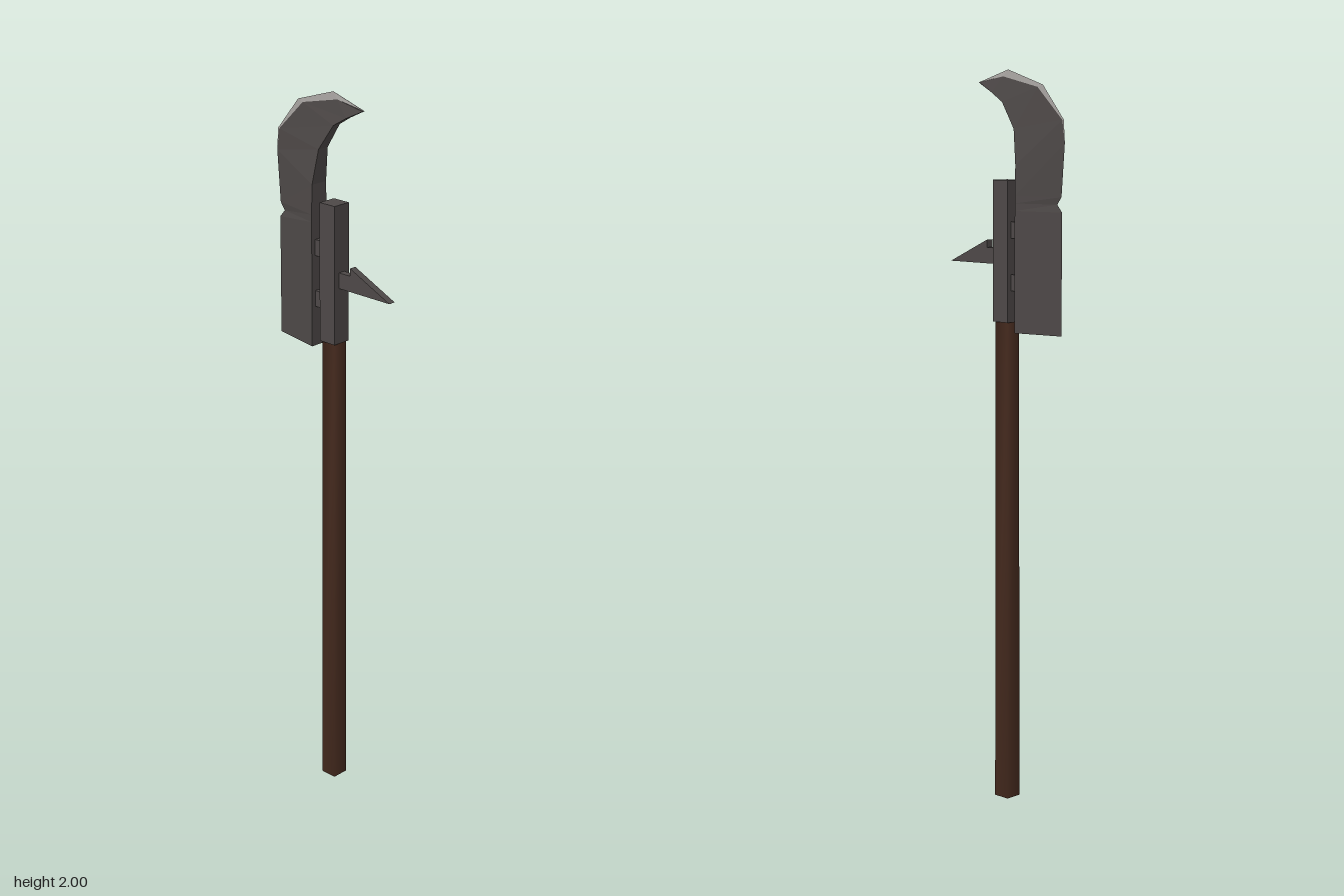
import * as THREE from 'three';
import { mergeVertices } from 'three/addons/utils/BufferGeometryUtils.js';

const mat = (name, color, flat = true) => {
  const m = new THREE.MeshStandardMaterial({ color, flatShading: flat });
  m.name = name;
  return m;
};

export function createModel() {
  const group = new THREE.Group();
  const wood = mat('dark wood', 0x452a1e, false);
  const iron = mat('dark iron', 0x4d4847);
  const steel = mat('sharpened steel', 0xa5a19e);

  const add = (name, geometry, material) => {
    const mesh = new THREE.Mesh(geometry, material);
    mesh.name = name;
    group.add(mesh);
    return mesh;
  };
  const box = (name, x, y, z, w, h, d) =>
    add(name, new THREE.BoxGeometry(w, h, d).translate(x, y, z), iron);

  // Square pole with softened corners, slightly slimmer towards the top
  let pole = new THREE.BoxGeometry(0.048, 1.34, 0.048).translate(0, 0.67, 0);
  const p = pole.attributes.position;
  for (let i = 0; i < p.count; i++) {
    const k = p.getY(i) > 1 ? 0.93 : 1;
    p.setXYZ(i, p.getX(i) * k - 0.003, p.getY(i), p.getZ(i) * k + 0.003);
  }
  pole.deleteAttribute('normal');
  pole.deleteAttribute('uv');
  pole = mergeVertices(pole);
  pole.computeVertexNormals();
  add('pole', pole, wood);

  // Iron socket and the two brackets that carry the blade
  box('socket', -0.003, 1.52, 0.003, 0.054, 0.38, 0.054);
  for (const y of [1.437, 1.578]) box('bracket', -0.002, y, -0.04, 0.026, 0.044, 0.05);

  // Front spike with a short neck
  const outline = [[0.02, 1.484], [0.21, 1.484], [0.07, 1.548], [0.07, 1.527], [0.02, 1.527]];
  const shape = new THREE.Shape(outline.map(([z, y]) => new THREE.Vector2(z, y)));
  const spike = new THREE.ExtrudeGeometry(shape, { depth: 0.02, bevelEnabled: false });
  add('spike', spike.rotateY(-Math.PI / 2).translate(0.007, 0, 0), iron);

  // Blade sections: spine z, y; edge z, y; half thickness; where the sharpened band begins
  const sections = [
    [-0.055, 1.305, -0.2, 1.305, 0.028, 1],
    [-0.055, 1.63, -0.2, 1.63, 0.028, 1],
    [-0.055, 1.65, -0.183, 1.65, 0.028, 1],
    [-0.055, 1.67, -0.198, 1.67, 0.028, 1],
    [-0.055, 1.75, -0.209, 1.81, 0.026, 1],
    [-0.04, 1.845, -0.205, 1.87, 0.017, 0.97],
    [0.008, 1.915, -0.13, 1.96, 0.012, 0.87],
    [0.05, 1.94, -0.003, 2.0, 0.009, 0.7],
    [0.103, 1.966, 0.104, 1.968, 0.003, 0.6],
  ].map(([sz, sy, ez, ey, h, t]) => {
    const spine = new THREE.Vector3(h, sy, sz);
    const edge = new THREE.Vector3(0, ey, ez);
    return { spine, edge, band: spine.clone().lerp(edge, t) };
  });

  const body = [], band = [];
  const flip = (v) => new THREE.Vector3(-v.x, v.y, v.z);
  const tri = (out, ...vs) => vs.forEach((v) => out.push(v.x, v.y, v.z));
  const quad = (out, a, b, c, d) => { tri(out, a, b, c); tri(out, a, c, d); };
  const bothSides = (out, a, b, c, d) => {
    quad(out, a, b, c, d);
    quad(out, flip(d), flip(c), flip(b), flip(a));
  };
  for (let i = 0; i < sections.length - 1; i++) {
    const s = sections[i], n = sections[i + 1];
    bothSides(body, s.spine, s.band, n.band, n.spine);
    quad(body, flip(s.spine), s.spine, n.spine, flip(n.spine));
    if (i >= 4) bothSides(band, s.band, s.edge, n.edge, n.band);
  }
  // Flat lower end of the blade and the blunt hook tip
  const first = sections[0], last = sections[sections.length - 1];
  tri(body, flip(first.spine), first.edge, first.spine);
  tri(body, flip(last.spine), last.spine, last.edge);

  const fromPoints = (points) => {
    const g = new THREE.BufferGeometry();
    g.setAttribute('position', new THREE.Float32BufferAttribute(points, 3));
    g.computeVertexNormals();
    return g;
  };
  add('blade', fromPoints(body), iron);
  add('sharpenedEdge', fromPoints(band), steel);

  return group;
}
